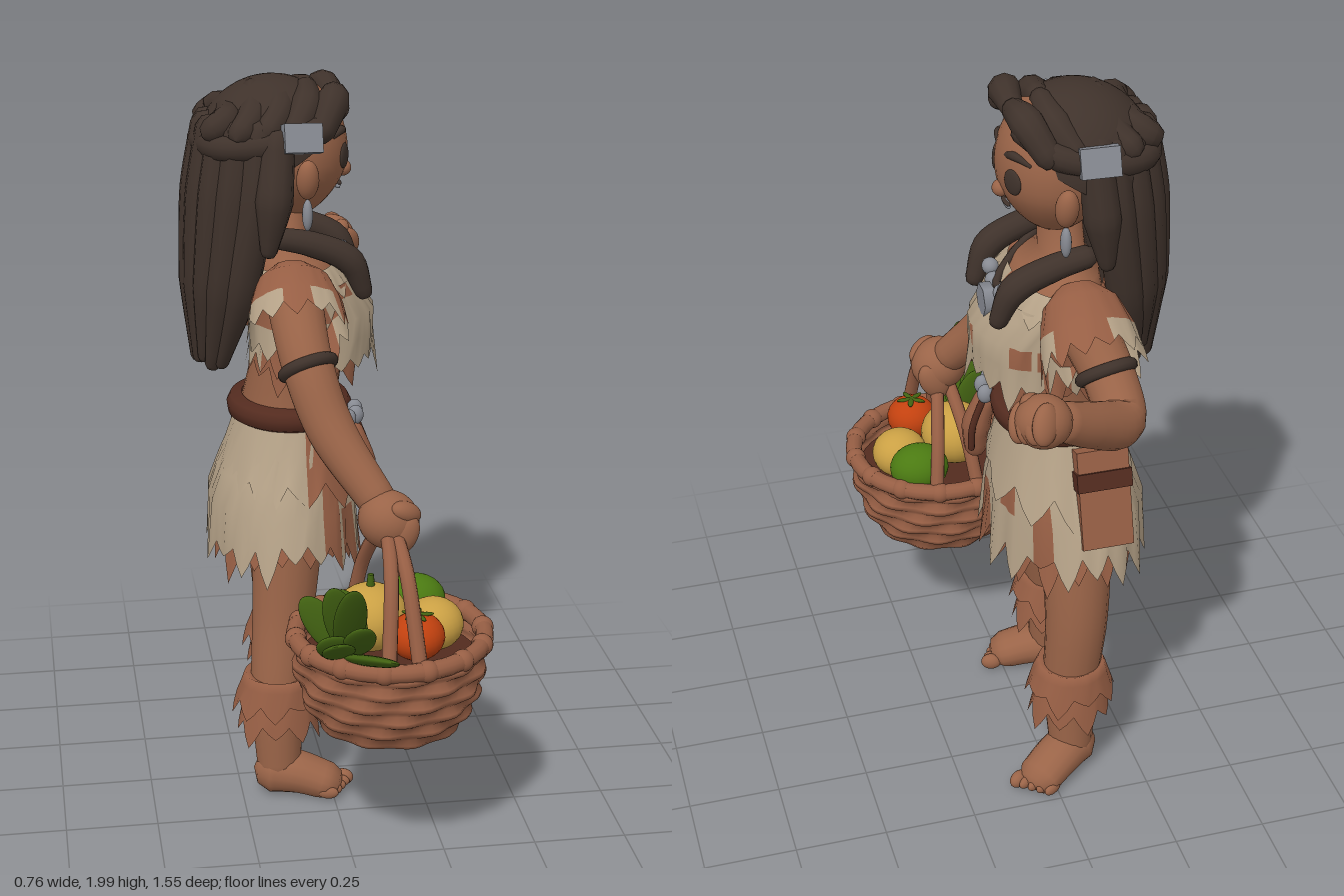
import * as THREE from 'three';

const V = (x, y, z) => new THREE.Vector3(x, y, z);
const paint = (name, color) => Object.assign(new THREE.MeshStandardMaterial({ color }), { name, side: THREE.DoubleSide });
const rnd = n => { const s = Math.sin(n * 12.9898) * 43758.5453; return s - Math.floor(s); };

export function createModel() {
  const skin = paint('skin', 0x9a6448), hair = paint('hair', 0x3f322b), hide = paint('hide', 0xb3a086);
  const leather = paint('leatherAndWicker', 0x965e44), belt = paint('beltLeather', 0x532b1f), leafGreen = paint('leafGreen', 0x426212);
  const silver = paint('silver', 0x878a92), red = paint('red', 0xc2410f), yellow = paint('yellow', 0xcaa044), green = paint('green', 0x4b7a12);
  const model = new THREE.Group();
  const cz = -0.135, hz = -0.115;

  function add(name, geo, mat, pos, rot, parent = model) {
    const m = new THREE.Mesh(geo, mat);
    m.name = name;
    if (pos) m.position.set(...pos);
    if (rot) m.rotation.set(...rot);
    parent.add(m);
    return m;
  }
  // Skin over closed rows of points; pick chooses a material for each cell
  function grid(rows, pick) {
    const n = rows[0].length, idx = [[], []];
    for (let i = 0; i < rows.length - 1; i++) for (let j = 0; j < n; j++) {
      const a = i * n + j, b = i * n + (j + 1) % n, c = a + n, d = b + n;
      idx[pick && pick(i, j / n) ? 1 : 0].push(a, c, b, b, c, d);
    }
    const g = new THREE.BufferGeometry().setFromPoints(rows.flat());
    g.setIndex(idx.flat());
    if (pick) { g.addGroup(0, idx[0].length, 0); g.addGroup(idx[0].length, idx[1].length, 1); }
    g.computeVertexNormals();
    return g;
  }
  // Rings listed bottom to top: [y, cx, cz, rx, rz]
  const ring = ([y, cx, z, rx, rz], n, f = () => [1, 0]) => Array.from({ length: n }, (_, j) => {
    const t = j / n * Math.PI * 2, [k, dy] = f(j);
    return V(cx + rx * k * Math.cos(t), y + dy, z + rz * k * Math.sin(t));
  });
  // Garment band with a torn lower edge that can sag at front and back
  function ragged(name, rings, teeth, depth, mats, pick, seed = 1, sag = 0) {
    const n = teeth * 4;
    const rows = rings.map((r, i) => ring(r, n, j => {
      const tri = [0, 0.55, 1, 0.55][j % 4], h = rnd(Math.floor(j / 4) + seed * 31);
      if (i === 0) return [1 + 0.12 * tri * h, -depth * tri * (0.3 + h) - sag * Math.abs(Math.cos(j / n * Math.PI * 2))];
      return [1 + (i < rings.length - 1 ? 0.05 * (rnd(j * 3 + i * 17 + seed) - 0.5) : 0), 0];
    }));
    return add(name, grid(rows, pick), mats);
  }
  // Tapered rounded tube through points
  function limb(name, pts, radii, mat, sides = 14, steps = 20, parent = model) {
    const c = new THREE.CatmullRomCurve3(pts.map(p => V(...p))), f = c.computeFrenetFrames(steps);
    const rows = [];
    const row = (i, r, push = 0) => rows.push(Array.from({ length: sides }, (_, j) => {
      const t = j / sides * Math.PI * 2;
      return c.getPoint(i / steps).addScaledVector(f.normals[i], r * Math.cos(t))
        .addScaledVector(f.binormals[i], -r * Math.sin(t)).addScaledVector(f.tangents[i], push);
    }));
    const rad = u => { const q = u * (radii.length - 1), k = Math.min(Math.floor(q), radii.length - 2); return THREE.MathUtils.lerp(radii[k], radii[k + 1], q - k); };
    const r0 = rad(0), r1 = rad(1);
    row(0, 0.0001, -r0 * 0.8); row(0, r0 * 0.7, -r0 * 0.55);
    for (let i = 0; i <= steps; i++) row(i, rad(i / steps));
    row(steps, r1 * 0.7, r1 * 0.55); row(steps, 0.0001, r1 * 0.8);
    return add(name, grid(rows), mat, null, null, parent);
  }
  const ball = (name, mat, pos, s, rot, parent) => {
    const m = add(name, new THREE.SphereGeometry(1, 24, 16), mat, pos, rot, parent);
    m.scale.set(...s);
    return m;
  };

  // Body and neck
  add('torso', grid([[0.93, -0.09, cz, 0.12, 0.17], [1.1, -0.08, cz, 0.13, 0.155], [1.2, -0.06, cz, 0.125, 0.155], [1.35, -0.04, cz, 0.14, 0.18],
    [1.44, -0.06, cz, 0.13, 0.22], [1.51, -0.08, cz, 0.1, 0.16], [1.55, -0.09, cz, 0.06, 0.08], [1.7, -0.08, cz, 0.055, 0.06]].map(r => ring(r, 32))), skin);

  // Head, tapered toward the chin
  const headGeo = new THREE.SphereGeometry(1, 32, 24), hp = headGeo.attributes.position;
  for (let i = 0; i < hp.count; i++) {
    const y = hp.getY(i), k = y < -0.3 ? 1 + (y + 0.3) * 0.22 : 1;
    hp.setXYZ(i, hp.getX(i) * 0.15 * k, y * 0.185, hp.getZ(i) * 0.165 * k);
  }
  headGeo.computeVertexNormals();
  add('head', headGeo, skin, [-0.07, 1.795, cz]);
  ball('nose', skin, [0.069, 1.735, cz], [0.023, 0.022, 0.024]);
  ball('mouth', silver, [0.054, 1.69, cz], [0.008, 0.01, 0.028]);
  ball('mouthLine', hair, [0.057, 1.696, cz], [0.008, 0.004, 0.032]);
  for (const s of [-1, 1]) {
    ball('eye', hair, [0.06, 1.785, cz + s * 0.077], [0.009, 0.034, 0.03], [0, -s * 0.45, 0]);
    limb('eyebrow', [[0.062, 1.84, cz + s * 0.03], [0.053, 1.853, cz + s * 0.075], [0.025, 1.842, cz + s * 0.115]], [0.01, 0.012, 0.006], hair, 8, 8);
    ball('ear', skin, [-0.05, 1.745, cz + s * 0.176], [0.03, 0.055, 0.03], [s * 0.25, 0, 0]);
    ball('earring', silver, [-0.05, 1.65, cz + s * 0.17], [0.014, 0.042, 0.018]);
    add('hairClip', new THREE.BoxGeometry(0.1, 0.075, 0.045), silver, [s > 0 ? -0.07 : -0.13, 1.863, hz + s * 0.197], [-s * 0.3, s * 0.1, 0]);
  }

  // Hair: cap, combed strands, rolled band, long back locks and front braids
  const cap = add('hairCap', new THREE.SphereGeometry(1, 32, 20, 0, Math.PI * 2, 0, Math.PI * 0.56), hair, [-0.13, 1.8, hz - 0.01], [0, 0, 0.55]);
  cap.scale.set(0.2, 0.19, 0.195);
  for (const s of [-1, 1]) {
    for (let k = 0; k < 5; k++) {
      const x = 0.035 - 0.07 * k, drop = [0.02, 0, 0, 0, 0.05][k];
      limb('hairStrand', [[x, 1.96 - drop, hz + s * 0.01], [x - 0.01, 1.94 - 0.012 * k, hz + s * 0.1], [x - 0.05, 1.87, hz + s * (k === 4 ? 0.11 : 0.16)]], [0.03, 0.044, 0.035], hair, 10, 12);
    }
    limb('hairRoll', [[0.045, 1.92, hz + s * 0.1], [-0.04, 1.87, hz + s * 0.165], [-0.16, 1.84, hz + s * 0.17], [-0.27, 1.83, hz + s * 0.13], [-0.315, 1.83, hz]], [0.025, 0.034, 0.036, 0.035, 0.035], hair, 12, 20);
    const out = s > 0 ? 0.21 : 0.185;
    limb('sideLock', [[-0.13, 1.85, hz + s * 0.17], [-0.145, 1.7, hz + s * out], [-0.16, 1.57, hz + s * out]], [0.045, 0.05, 0.022], hair, 10, 12);
    limb('frontBraid', [[-0.12, 1.58, cz + s * 0.13], [-0.03, 1.56, cz + s * 0.13], [0.07, 1.51, cz + s * 0.125], [0.11, 1.42, cz + s * 0.115]], [0.03, 0.035, 0.038, 0.024], hair, 12, 16);
  }
  for (let k = 0; k < 9; k++) {
    const a = (k - 4) / 4 * 1.35, z = Math.sin(a), x = Math.cos(a);
    limb('backLock', [[-0.14 - 0.155 * x, 1.87, hz + 0.15 * z], [-0.15 - 0.17 * x, 1.7, hz + 0.165 * z], [-0.2 - 0.13 * x, 1.45, hz + 0.14 * z], [-0.26 - 0.07 * x, 1.22 + 0.04 * rnd(k), hz + 0.075 * z]],
      [0.045, 0.052, 0.05, 0.022], hair, 10, 18);
  }
  limb('innerBackHair', [[-0.2, 1.8, hz], [-0.24, 1.5, hz], [-0.26, 1.27, hz]], [0.1, 0.07, 0.04], hair, 14, 10);

  // Necklace
  limb('necklaceCord', [-1, -0.6, 0, 0.6, 1].map(s => [0.08 - 0.16 * s * s, 1.46 + 0.1 * s * s, cz + 0.12 * s]), [0.012, 0.012], hair, 8, 20);
  [[-0.07, 1.48], [-0.22, 1.49], [-0.1, 1.455], [-0.18, 1.46]].forEach(([z, y]) => ball('necklaceBead', silver, [0.08, y, z], [0.022, 0.022, 0.024]));
  add('necklacePendant', new THREE.CylinderGeometry(0.045, 0.045, 0.03, 6), silver, [0.112, 1.43, cz - 0.015], [0, 0, Math.PI / 2]);

  // Torn top: pale at the front, mostly leather at the sides and back
  ragged('topUnderlayer', [[1.22, -0.04, cz, 0.145, 0.175], [1.3, -0.03, cz, 0.15, 0.18], [1.42, -0.05, cz, 0.145, 0.2]], 13, 0.06, leather, null, 4);
  ragged('hideTop', [[1.25, -0.02, cz, 0.168, 0.2], [1.3, -0.015, cz, 0.165, 0.198], [1.36, -0.015, cz, 0.165, 0.2], [1.42, -0.04, cz, 0.15, 0.205], [1.455, -0.05, cz, 0.138, 0.21]], 18, 0.075, [hide, leather],
    (i, u) => rnd(Math.floor(u * 17 + i * 0.4) + i * 7 + 3) < (u > 0.22 && u < 0.78 ? 0.72 : 0.16), 2);
  for (const s of [-1, 1]) {
    const sleeve = ragged('hideSleeve', [[-0.09, 0, 0, 0.13, 0.115], [-0.04, 0, 0, 0.122, 0.107], [0.04, 0, 0, 0.1, 0.085], [0.09, 0, 0, 0.05, 0.04]], 13, 0.055, [hide, leather], (i, u) => i > 0 || rnd(Math.floor(u * 10)) < 0.35, 6 + s);
    sleeve.position.set(-0.09, 1.44, cz + s * 0.2);
    sleeve.rotation.x = -s * 0.9;
  }
  // Pale torn collar around the shoulders
  ragged('collar', [[1.45, -0.06, cz, 0.142, 0.24], [1.475, -0.07, cz, 0.13, 0.222], [1.495, -0.075, cz, 0.115, 0.19]], 20, 0.03, [hide, leather], (i, u) => rnd(Math.floor(u * 15) + 40) < 0.45, 30);

  // Belt, skirt, hanging flaps and pouch
  ragged('skirtUnderlayer', [[0.77, -0.1, cz, 0.19, 0.285], [0.9, -0.09, cz, 0.165, 0.225], [1.07, -0.08, cz, 0.14, 0.17]], 16, 0.1, leather, null, 9, 0.04);
  ragged('hideSkirt', [[0.775, -0.105, cz, 0.205, 0.3], [0.83, -0.105, cz, 0.205, 0.282], [0.91, -0.095, cz, 0.185, 0.24], [1.0, -0.085, cz, 0.16, 0.2], [1.07, -0.08, cz, 0.145, 0.175]], 18, 0.085, [hide, leather],
    (i, u) => (u > 0.13 && u < 0.18) || (u > 0.83 && u < 0.87 && i < 2) || rnd(Math.floor(u * 24) + i * 5) < 0.07, 5, 0.06);
  // Loose torn overlay around the hips
  ragged('skirtOverlay', [[0.92, -0.09, cz, 0.19, 0.25], [0.98, -0.085, cz, 0.172, 0.212], [1.06, -0.08, cz, 0.15, 0.18]], 11, 0.08, [hide, leather], (i, u) => u > 0.09 && u < 0.22, 21);
  add('belt', grid([[1.05, -0.08, cz, 0.15, 0.178], [1.06, -0.08, cz, 0.168, 0.195], [1.085, -0.08, cz, 0.172, 0.198], [1.105, -0.08, cz, 0.162, 0.19], [1.112, -0.08, cz, 0.13, 0.155]].map(r => ring(r, 40))), belt);
  [[0.09, -0.05], [0.085, 0.0], [0.06, 0.03]].forEach(([x, z]) => ball('beltBuckle', silver, [x, 1.08, z], [0.022, 0.027, 0.02]));
  limb('hipFlap', [[0.075, 1.04, 0.0], [0.1, 0.95, 0.01], [0.1, 0.87, 0.02]], [0.03, 0.04, 0.032], leather, 10, 8);
  limb('hipFlapStrap', [[0.09, 1.06, -0.035], [0.122, 0.97, -0.035], [0.125, 0.9, -0.03]], [0.01, 0.01], belt, 8, 8);
  add('pouch', new THREE.BoxGeometry(0.14, 0.27, 0.05), leather, [-0.14, 0.92, -0.375], [0.28, 0, 0]);
  add('pouchLid', new THREE.BoxGeometry(0.15, 0.05, 0.06), belt, [-0.14, 0.97, -0.362], [0.28, 0, 0]);

  // Legs, fur cuffs and bare feet: ankle x, ankle z, hip z, turn, cuff z
  for (const [name, x, z, hipZ, turn, fz] of [['left', -0.145, 0.105, -0.01, -0.25, 0.085], ['right', -0.07, -0.355, -0.27, 0.6, -0.34]]) {
    limb(name + 'Leg', [[-0.09, 0.9, hipZ], [(x - 0.1) / 2, 0.52, hipZ * 0.4 + z * 0.6 - 0.02], [x, 0.28, fz], [x, 0.07, z]], [0.105, 0.086, 0.075, 0.06], skin, 18, 20);
    ragged(name + 'CuffLower', [[0.235, x, fz, 0.108, 0.1], [0.28, x, fz, 0.095, 0.09], [0.32, x, fz, 0.075, 0.075]], 9, 0.055, leather, null, 12);
    ragged(name + 'CuffUpper', [[0.3, x, fz, 0.118, 0.107], [0.34, x, fz, 0.102, 0.098], [0.368, x, fz, 0.09, 0.09], [0.352, x, fz, 0.06, 0.06]], 9, 0.05, leather, null, 14);
    const foot = new THREE.Group();
    foot.name = name + 'Foot';
    foot.position.set(x, 0.01, z);
    foot.rotation.y = turn;
    model.add(foot);
    const sole = limb('footBody', [[-0.02, 0.06, 0], [0.05, 0.055, 0], [0.14, 0.03, 0]], [0.065, 0.06, 0.05], skin, 16, 10, foot);
    const p = sole.geometry.attributes.position;
    for (let i = 0; i < p.count; i++) { p.setY(i, Math.max(0, p.getY(i))); p.setZ(i, p.getZ(i) * (1 + Math.max(0, p.getX(i)) * 1.8)); }
    sole.geometry.computeVertexNormals();
    const side = turn < 0 ? 1 : -1;
    for (let k = 0; k < 5; k++) ball('toe', skin, [0.175 - 0.008 * k, 0.021, side * (-0.045 + 0.024 * k)], [0.03, k ? 0.018 : 0.024, k ? 0.014 : 0.02], null, foot);
  }

  // Arms, armbands and fists
  limb('leftArm', [[-0.09, 1.43, 0.06], [-0.07, 1.28, 0.18], [-0.02, 1.13, 0.255], [0.09, 0.96, 0.36]], [0.075, 0.068, 0.064, 0.05], skin, 18, 20);
  limb('rightArm', [[-0.09, 1.43, -0.33], [-0.13, 1.32, -0.43], [-0.13, 1.25, -0.52], [-0.02, 1.31, -0.61], [0.07, 1.37, -0.665]], [0.075, 0.068, 0.066, 0.058, 0.05], skin, 18, 24);
  add('leftArmband', new THREE.TorusGeometry(0.066, 0.017, 10, 24), hair, [-0.07, 1.28, 0.18], [1.0, 0.25, 0]);
  add('rightArmband', new THREE.TorusGeometry(0.066, 0.017, 10, 24), hair, [-0.125, 1.33, -0.42], [-0.85, 0.15, 0]);
  const fist = (name, pos, rot, size) => {
    const g = new THREE.Group();
    g.name = name;
    g.position.set(...pos);
    g.rotation.set(...rot);
    g.scale.setScalar(size);
    model.add(g);
    ball('palm', skin, [0, 0, 0], [0.068, 0.064, 0.066], null, g);
    for (let k = 0; k < 4; k++) ball('finger', skin, [0.03, -0.008, -0.042 + 0.028 * k], [0.034, 0.05, 0.023], null, g);
    ball('thumb', skin, [0.015, 0.038, 0.03], [0.042, 0.024, 0.026], [0, 0.5, 0], g);
  };
  fist('leftHand', [0.11, 0.925, 0.385], [0, 0, -0.5], 1.2);
  fist('rightHand', [0.12, 1.395, -0.69], [0.4, 0.45, 0.3], 1.05);

  // Woven basket with rim, floor and two-strand handle
  const bx = 0.11, bz = 0.42;
  const weave = Array.from({ length: 19 }, (_, i) => {
    const u = i / 18, r = 0.165 + 0.09 * Math.sin(Math.pow(u, 0.65) * Math.PI / 2), band = Math.floor(i / 3);
    return ring([0.362 + 0.253 * u, bx, bz, r, r], 72, j => [i % 3 ? 1.01 + 0.03 * Math.sin(j / 72 * Math.PI * 20 + band * 2.2) : 0.95, 0]);
  });
  add('basketWall', grid(weave), leather);
  add('basketFloor', new THREE.CylinderGeometry(0.155, 0.155, 0.015, 32), belt, [bx, 0.37, bz]);
  add('basketLining', new THREE.CylinderGeometry(0.235, 0.23, 0.01, 32), belt, [bx, 0.55, bz]);
  add('basketRim', new THREE.TorusGeometry(0.248, 0.024, 12, 40), leather, [bx, 0.62, bz], [Math.PI / 2, 0, 0]);
  for (let k = 0; k < 14; k++) {
    const a = k / 14 * Math.PI * 2;
    ball('rimWrap', leather, [bx + 0.248 * Math.cos(a), 0.62, bz + 0.248 * Math.sin(a)], [0.029, 0.029, 0.03], [0, -a, 0.3]);
  }
  for (const s of [-1, 1]) limb('basketHandle', [[bx + s * 0.06, 0.62, bz - 0.23], [bx + s * 0.04, 0.77, bz - 0.17], [bx + s * 0.012, 0.9, bz - 0.03], [bx + s * 0.02, 0.84, bz + 0.12], [bx + s * 0.04, 0.62, bz + 0.22]], [0.02, 0.019, 0.02], leather, 10, 24);

  // Fruit and leaves
  ball('melon', yellow, [0.06, 0.665, 0.41], [0.1, 0.09, 0.1]);
  ball('yellowFruit', yellow, [0.23, 0.63, 0.4], [0.08, 0.07, 0.08]);
  ball('tomato', red, [0.16, 0.66, 0.535], [0.073, 0.062, 0.073]);
  ball('greenPepper', green, [0.2, 0.65, 0.28], [0.085, 0.068, 0.075]);
  add('melonStem', new THREE.CylinderGeometry(0.008, 0.012, 0.04, 8), leafGreen, [0.06, 0.765, 0.41]);
  for (let k = 0; k < 5; k++) ball('tomatoLeaf', leafGreen, [0.16 + 0.02 * Math.cos(k * 1.257), 0.72, 0.535 + 0.02 * Math.sin(k * 1.257)], [0.024, 0.005, 0.008], [0, -k * 1.257, 0]);
  [[0.06, 0.7, 0.77], [-0.08, 0.73, 0.72], [-0.03, 0.86, 0.69], [-0.13, 0.77, 0.51], [-0.07, 0.83, 0.6], [0.0, 0.74, 0.65], [-0.1, 0.7, 0.62], [-0.04, 0.79, 0.52]].forEach((tip, k) => {
    const a = V(-0.04 + 0.008 * k, 0.61, 0.53), b = V(...tip), leaf = ball('leaf', leafGreen, a.clone().lerp(b, 0.55).toArray(), [0.043, a.distanceTo(b) * 0.48, 0.014]);
    leaf.quaternion.setFromUnitVectors(V(0, 1, 0), b.sub(a).normalize());
  });
  return model;
}
